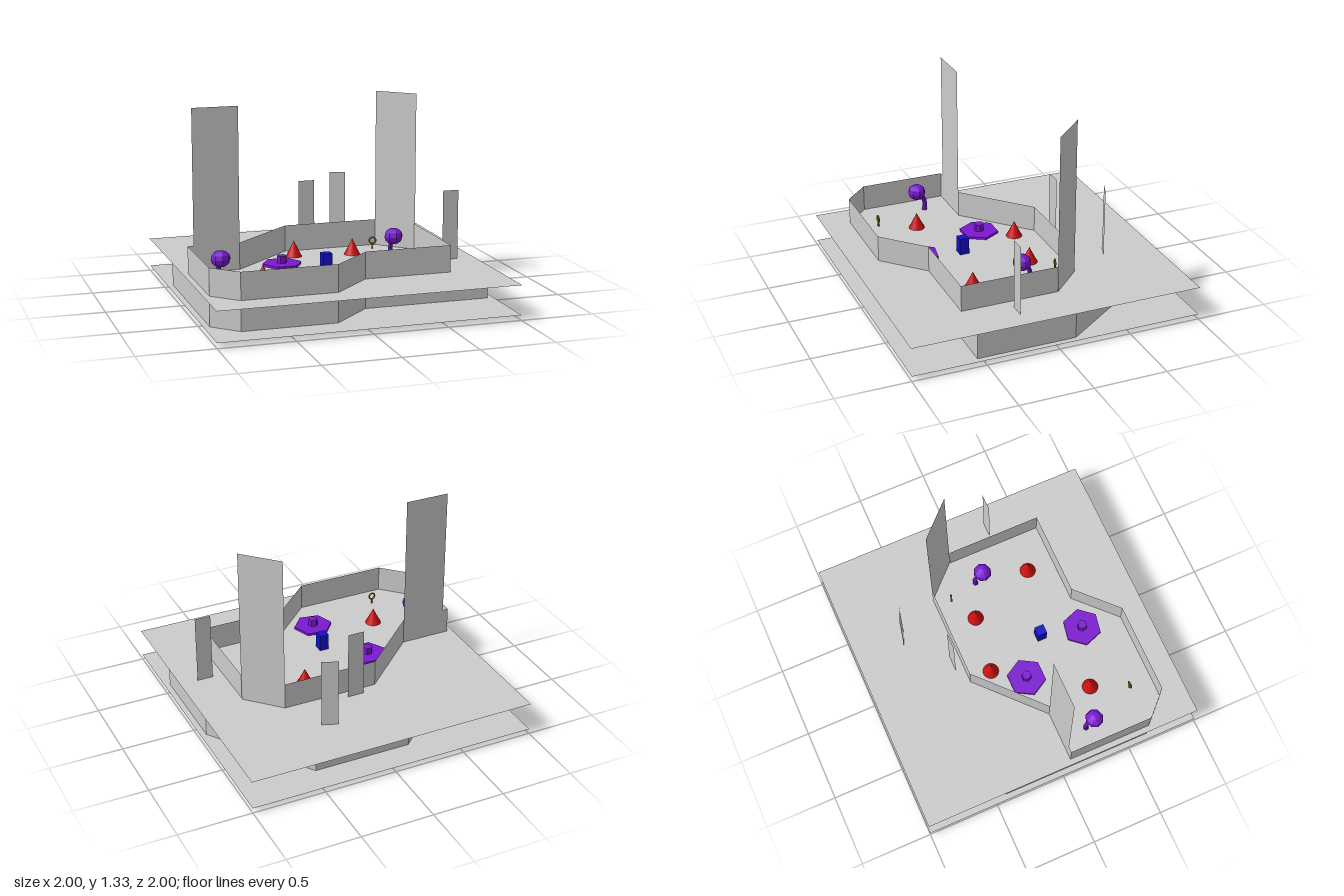
import * as THREE from 'three';

const mat = (color, flat = false, side = THREE.FrontSide) =>
  new THREE.MeshStandardMaterial({ color, flatShading: flat, side });
const GREY = mat(0xcccccc, true, THREE.DoubleSide);
const PURPLE = mat(0x7a18d0, true);
const RED = mat(0xcc1111);
const BLUE = mat(0x1111cc);
const GOLD = mat(0x9a7618);

const LOWER = 0.035, FLOOR = 0.233, RIM = 0.415;

export function createModel() {
  const root = new THREE.Group();

  const add = (parent, name, geo, material, x = 0, y = 0, z = 0, ry = 0) => {
    const m = new THREE.Mesh(geo, material);
    m.name = name;
    m.position.set(x, y, z);
    m.rotation.y = ry;
    parent.add(m);
    return m;
  };
  const group = (name, x, y, z, ry = 0) => {
    const g = new THREE.Group();
    g.name = name;
    g.position.set(x, y, z);
    g.rotation.y = ry;
    root.add(g);
    return g;
  };
  // Upright thin panel between two floor points
  const panel = (parent, name, [x0, z0], [x1, z1], y0, y1) =>
    add(parent, name, new THREE.PlaneGeometry(Math.hypot(x1 - x0, z1 - z0), y1 - y0), GREY,
      (x0 + x1) / 2, (y0 + y1) / 2, (z0 + z1) / 2, -Math.atan2(z1 - z0, x1 - x0));
  const wallRun = (name, pts, y0, y1) => {
    const g = group(name, 0, 0, 0);
    for (let i = 0; i < pts.length - 1; i++) panel(g, 'wall', pts[i], pts[i + 1], y0, y1);
  };

  // Two square floor sheets
  for (const [name, y] of [['lowerFloor', LOWER], ['upperFloor', FLOOR]])
    add(root, name, new THREE.PlaneGeometry(2, 2).rotateX(-Math.PI / 2), GREY, 0, y, 0);

  // Front outline shared by both storeys
  const front = [[-0.96, 0.65], [-0.8, 0.81], [-0.17, 0.81], [0.1, 0.55]];
  // Upper arena walls, broken where the tall doors stand
  wallRun('upperWalls', [[-0.92, 0.06], [-0.96, 0.06], ...front, [0.69, 0.55], [0.69, -0.12]], FLOOR, RIM);
  wallRun('upperBackWalls', [[0.48, -0.34], [-0.18, -0.34], [-0.61, 0.06]], FLOOR, RIM);
  // Larger closed walls between the floors
  wallRun('lowerWalls', [[-0.96, -0.42], ...front, [0.96, 0.55], [0.96, -0.13],
    [0.48, -0.81], [-0.19, -0.81], [-0.61, -0.42], [-0.96, -0.42]], LOWER, FLOOR);

  // Tall doors
  panel(root, 'tallDoor', [-0.92, 0.06], [-0.61, 0.06], 0, 1.325);
  panel(root, 'tallDoor', [0.48, -0.34], [0.695, -0.12], 0, 1.325);

  // Small standing panels outside the arena
  panel(root, 'smallPanel', [-0.065, -0.4], [0.05, -0.4], FLOOR, 0.71);
  panel(root, 'smallPanel', [0.245, -0.66], [0.35, -0.62], FLOOR, 0.71);
  panel(root, 'smallPanel', [0.765, 0.22], [0.875, 0.22], FLOOR, 0.71);

  // Red cones
  for (const [x, z] of [[-0.165, -0.18], [0.235, -0.12], [0.415, 0.36], [-0.545, 0.4]])
    add(root, 'cone', new THREE.ConeGeometry(0.055, 0.11, 32), RED, x, FLOOR + 0.055, z);

  // Blue block
  add(root, 'block', new THREE.BoxGeometry(0.066, 0.115, 0.066), BLUE, -0.067, FLOOR + 0.0575, 0.24);

  // Hexagonal pads with a hexagonal stub
  for (const [x, z, turn] of [[-0.31, 0.025, 0], [-0.13, 0.53, -0.18]]) {
    const g = group('hexPad', x, FLOOR, z, Math.PI / 2 + turn);
    add(g, 'padBase', new THREE.CylinderGeometry(0.135, 0.135, 0.016, 6), PURPLE, 0, 0.008, 0);
    add(g, 'padStub', new THREE.CylinderGeometry(0.034, 0.034, 0.05, 6), PURPLE, 0, 0.04, 0);
  }

  // Bent stalks with a faceted head
  const bend = new THREE.CatmullRomCurve3([[0, -0.055], [0.05, -0.06], [0.1, -0.045], [0.14, -0.01]]
    .map(([y, z]) => new THREE.Vector3(0, y, z)));
  for (const [x, z] of [[-0.8, 0.305], [0.478, 0.04]]) {
    const g = group('stalkPlant', x, FLOOR, z);
    add(g, 'stalk', new THREE.TubeGeometry(bend, 6, 0.016, 6), PURPLE);
    add(g, 'stalkFoot', new THREE.CylinderGeometry(0.016, 0.02, 0.016, 6), PURPLE, 0, 0.008, -0.055);
    add(g, 'head', new THREE.SphereGeometry(0.066, 8, 6).scale(1, 0.85, 0.95), PURPLE, 0, 0.145, 0);
  }

  // Small gold loops on a short stem
  for (const [x, z, turn] of [[0.42, -0.225, -0.3], [-0.66, 0.645, 0]]) {
    const g = group('goldLoop', x, FLOOR, z, turn);
    add(g, 'loop', new THREE.TorusGeometry(0.022, 0.006, 8, 20), GOLD, 0, 0.06, 0);
    add(g, 'stem', new THREE.BoxGeometry(0.01, 0.036, 0.01), GOLD, 0, 0.02, 0);
  }

  return root;
}
